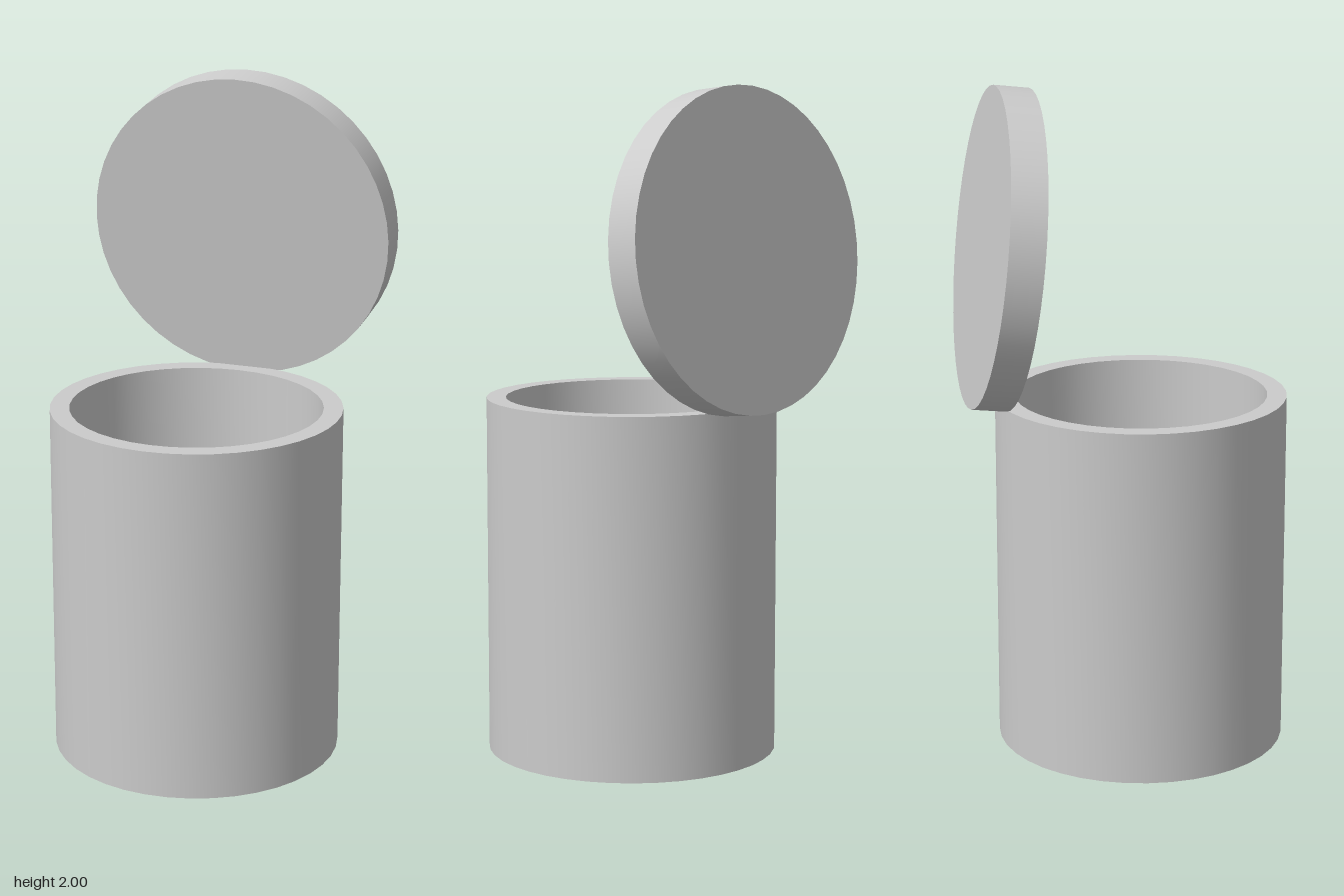
import * as THREE from 'three';
import { toCreasedNormals } from 'three/addons/utils/BufferGeometryUtils.js';

export function createModel() {
  const model = new THREE.Group();
  model.name = 'openCanister';
  const grey = new THREE.MeshStandardMaterial({ color: 0xcccccc });

  // Hollow pot: underside, outer wall, flat rim, inner wall, inner floor
  const outer = 0.435, inner = 0.377, height = 1.07, floor = 0.058;
  const profile = [
    [0, 0], [outer, 0], [outer, height], [inner, height], [inner, floor], [0, floor],
  ].map(([r, y]) => new THREE.Vector2(r, y));
  const pot = new THREE.Mesh(toCreasedNormals(new THREE.LatheGeometry(profile, 40), 0.6), grey);
  pot.name = 'pot';
  pot.position.z = 0.048;
  model.add(pot);

  // Solid disc lid, standing open behind the rim and leaning slightly forward
  const lean = 0.115;
  const lid = new THREE.Mesh(new THREE.CylinderGeometry(0.47, 0.47, 0.104, 48), grey);
  lid.name = 'lid';
  lid.position.set(0, 1.527, -0.376);
  lid.rotation.x = lean - Math.PI / 2;
  model.add(lid);

  return model;
}
